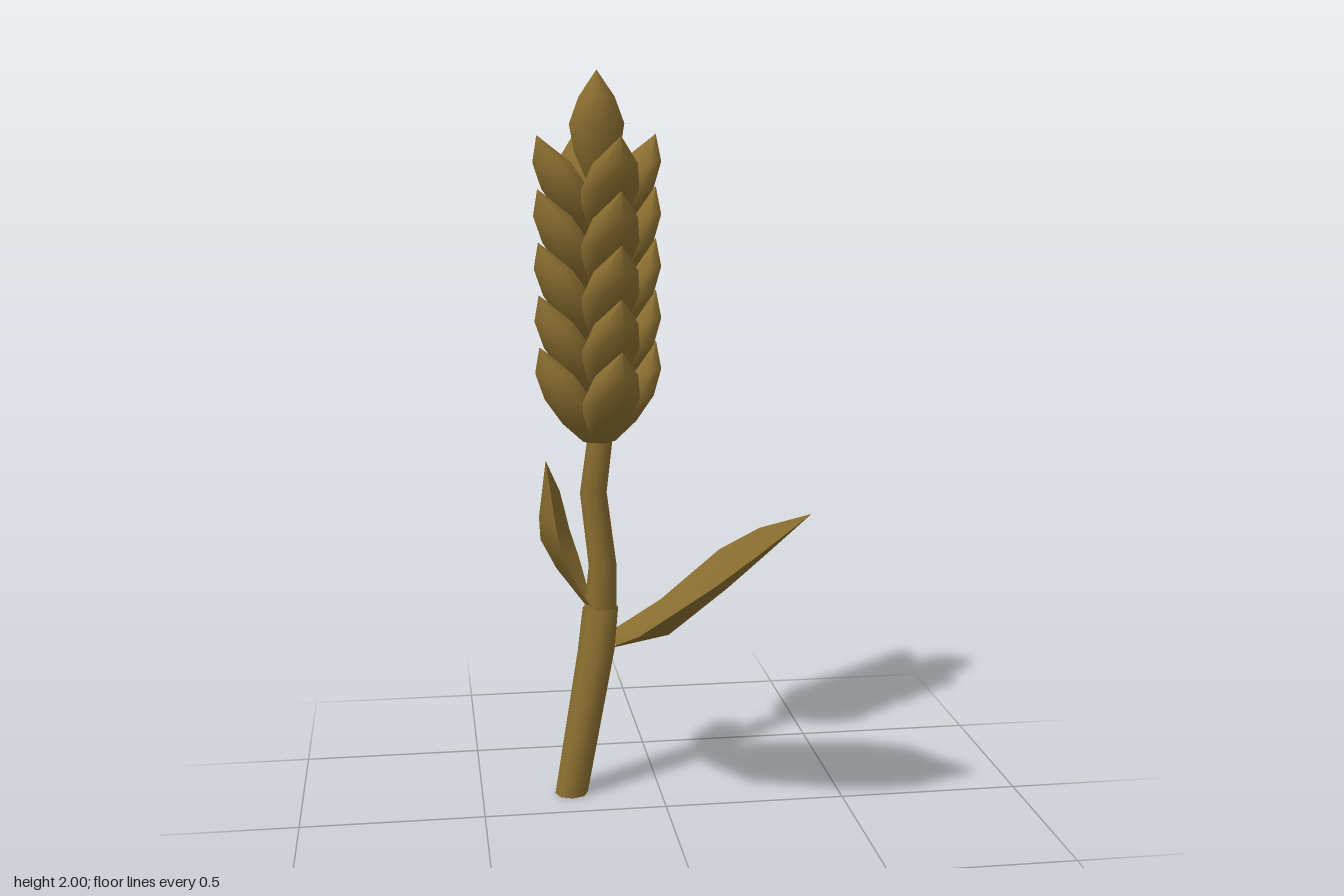
import * as THREE from 'three';

const straw = new THREE.MeshStandardMaterial({ color: 0x8a6e30, side: THREE.DoubleSide });
straw.name = 'straw';

function indexed(positions, index) {
  const g = new THREE.BufferGeometry();
  g.setAttribute('position', new THREE.Float32BufferAttribute(positions, 3));
  g.setIndex(index);
  g.computeVertexNormals();
  return g;
}

// Skin over horizontal elliptical rings: [x, y, z, radiusX, radiusZ]
function loft(rings, sides) {
  const pos = [], idx = [];
  for (const [x, y, z, rx, rz] of rings)
    for (let i = 0; i < sides; i++) {
      const a = (i / sides) * Math.PI * 2;
      pos.push(x + Math.cos(a) * rx, y, z + Math.sin(a) * rz);
    }
  for (let r = 0; r < rings.length - 1; r++)
    for (let i = 0; i < sides; i++) {
      const a = r * sides + i, b = r * sides + (i + 1) % sides;
      idx.push(a, a + sides, b, b, a + sides, b + sides);
    }
  return indexed(pos, idx);
}

// Keeled leaf blade from rows of [edge, keel, edge] points, closed by a tip
function blade(rows, tip) {
  const pos = [...rows.flat(2), ...tip], idx = [];
  const end = rows.length * 3;
  for (let r = 0; r < rows.length; r++)
    for (let s = 0; s < 2; s++) {
      const a = r * 3 + s;
      if (r === rows.length - 1) idx.push(a, a + 1, end);
      else idx.push(a, a + 1, a + 3, a + 1, a + 4, a + 3);
    }
  return indexed(pos, idx);
}

export function createModel() {
  const group = new THREE.Group();
  const add = (name, geometry, parent = group) => {
    const mesh = new THREE.Mesh(geometry, straw);
    mesh.name = name;
    parent.add(mesh);
    return mesh;
  };

  // Bent stem: thick lower sheath and thinner upper stalk
  add('lowerStem', loft([
    [-0.25, 0, -0.138, 0.046, 0.046],
    [-0.174, 0.41, -0.166, 0.052, 0.05],
    [-0.16, 0.53, -0.178, 0.05, 0.042],
  ], 8));
  add('stemBase', new THREE.CircleGeometry(0.046, 8).rotateX(Math.PI / 2).translate(-0.25, 0, -0.138));
  add('upperStem', loft([
    [-0.162, 0.5, -0.177, 0.047, 0.041],
    [-0.153, 0.65, -0.178, 0.039, 0.039],
    [-0.178, 0.86, -0.172, 0.037, 0.036],
    [-0.16, 1.0, -0.172, 0.035, 0.035],
    [-0.16, 1.1, -0.175, 0.035, 0.035],
  ], 8));

  // Broad leaf reaching forward
  add('largeLeaf', blade([
    [[-0.14, 0.43, -0.115], [-0.12, 0.42, -0.15], [-0.125, 0.45, -0.21]],
    [[-0.09, 0.53, 0.115], [0.01, 0.49, -0.02], [0.01, 0.545, -0.178]],
    [[0.08, 0.715, 0.31], [0.145, 0.655, 0.12], [0.155, 0.715, -0.06]],
    [[0.18, 0.805, 0.355], [0.228, 0.762, 0.2], [0.245, 0.8, 0.05]],
  ], [0.325, 0.9, 0.318]));

  // Small upright leaf on the other side
  add('smallLeaf', blade([
    [[-0.18, 0.53, -0.15], [-0.2, 0.535, -0.18], [-0.18, 0.53, -0.21]],
    [[-0.215, 0.58, -0.135], [-0.28, 0.64, -0.2], [-0.21, 0.65, -0.275]],
    [[-0.275, 0.71, -0.08], [-0.325, 0.73, -0.18], [-0.235, 0.73, -0.285]],
    [[-0.292, 0.8, -0.07], [-0.33, 0.8, -0.155], [-0.268, 0.86, -0.2]],
  ], [-0.31, 0.958, -0.15]));

  // Ear: five tiers of four kernels leaning outward
  const ear = new THREE.Group();
  ear.name = 'ear';
  ear.position.set(-0.16, 1.0, -0.178);
  group.add(ear);
  const kernel = loft([
    [0.02, 0, 0, 0, 0],
    [0.022, 0.005, 0, 0.025, 0.03],
    [0.053, 0.06, 0, 0.054, 0.064],
    [0.092, 0.13, 0, 0.065, 0.083],
    [0.128, 0.2, 0, 0.054, 0.064],
    [0.17, 0.272, 0, 0, 0],
  ], 8);
  for (let tier = 0; tier < 5; tier++)
    for (let k = 0; k < 4; k++) {
      const mesh = add('kernel', kernel, ear);
      mesh.position.y = tier * 0.14;
      mesh.rotation.y = 0.27 + k * Math.PI / 2;
    }

  // Upright kernel at the top
  const crown = add('topKernel', loft([
    [0, 0.68, 0, 0, 0],
    [0, 0.72, 0, 0.035, 0.035],
    [0, 0.79, 0, 0.067, 0.054],
    [0, 0.86, 0, 0.08, 0.056],
    [0, 0.93, 0, 0.052, 0.05],
    [0, 1.0, 0, 0, 0],
  ], 8), ear);
  crown.rotation.y = 0.3;

  return group;
}
